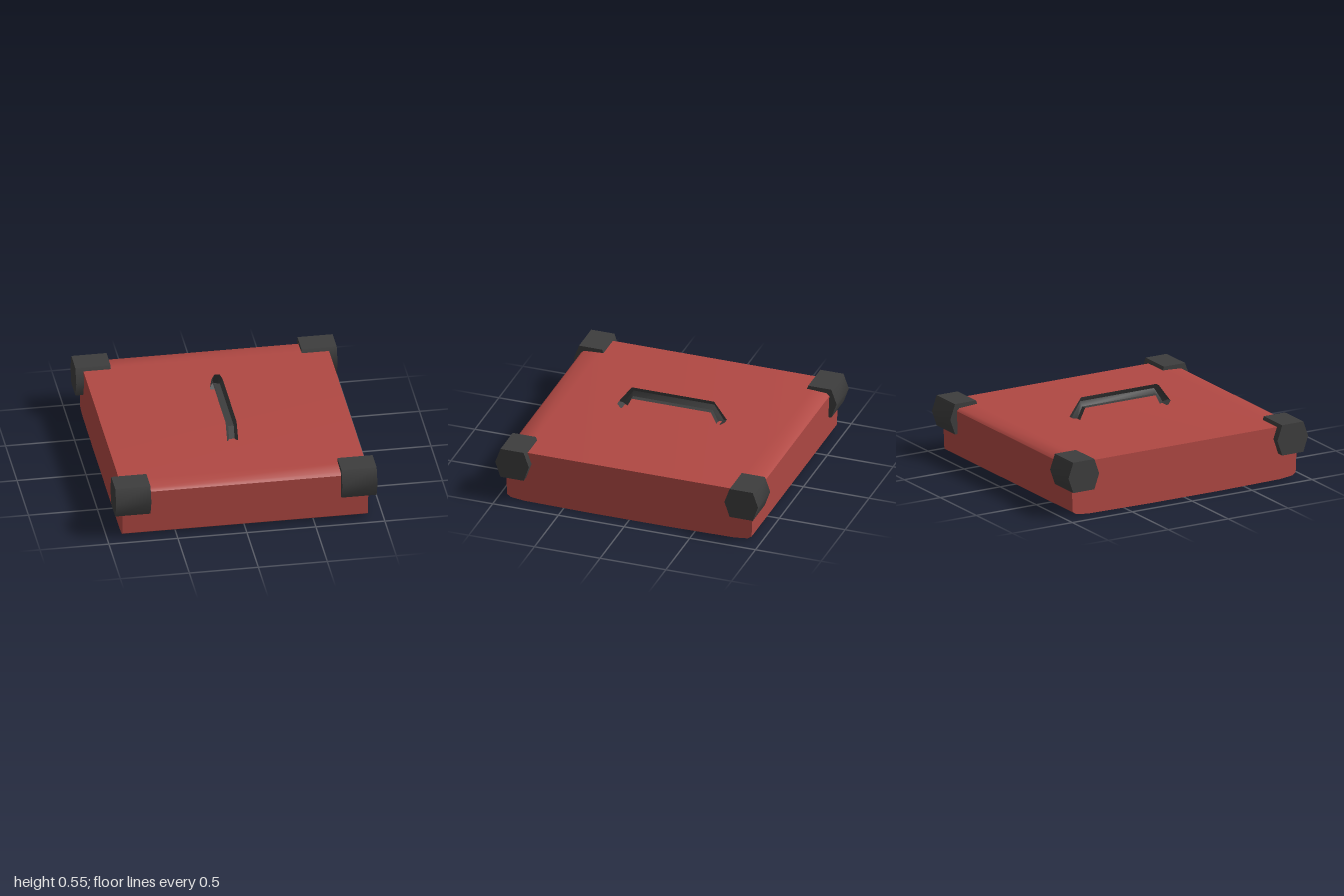
import * as THREE from 'three';
import { toCreasedNormals } from 'three/addons/utils/BufferGeometryUtils.js';

const red = new THREE.MeshStandardMaterial({ name: 'red shell', color: 0xb04843 });
const dark = new THREE.MeshStandardMaterial({ name: 'dark grey plastic', color: 0x3d3d3d });
const CREASE = 0.78;

// Prism along x from a closed (z, y) outline, centred on x = 0
function prism(outline, width) {
  const shape = new THREE.Shape(outline.map(([z, y]) => new THREE.Vector2(z, y)));
  const geo = new THREE.ExtrudeGeometry(shape, { depth: width, bevelEnabled: false });
  geo.translate(0, 0, -width / 2).rotateY(-Math.PI / 2);
  return toCreasedNormals(geo, CREASE);
}

// Hexagonal bar lofted through sections given by outer and inner (z, y) points
function hexBar(sections, halfWidth) {
  const pos = [], index = [];
  for (const [[z1, y1], [z0, y0]] of sections) {
    for (let i = 0; i < 6; i++) {
      const a = i * Math.PI / 3;
      const t = Math.sin(a) / Math.sin(Math.PI / 3) / 2;
      pos.push(halfWidth * Math.cos(a), (y1 + y0) / 2 + t * (y1 - y0), (z1 + z0) / 2 + t * (z1 - z0));
    }
  }
  const last = (sections.length - 1) * 6;
  for (let s = 0; s < last; s += 6) {
    for (let i = 0; i < 6; i++) {
      const j = (i + 1) % 6;
      index.push(s + i, s + j, s + 6 + i, s + j, s + 6 + j, s + 6 + i);
    }
  }
  for (let i = 1; i < 5; i++) index.push(0, i + 1, i, last, last + i, last + i + 1);
  const geo = new THREE.BufferGeometry();
  geo.setAttribute('position', new THREE.Float32BufferAttribute(pos, 3));
  geo.setIndex(index);
  return toCreasedNormals(geo, CREASE);
}

export function createModel() {
  const model = new THREE.Group();
  const add = (name, geo, mat) => {
    const mesh = new THREE.Mesh(geo, mat);
    mesh.name = name;
    model.add(mesh);
    return mesh;
  };

  // Flat case with softened long edges
  const half = [[0.3, 0], [0.8, 0.006], [0.9, 0.017], [0.93, 0.037],
    [0.945, 0.372], [0.925, 0.392], [0.8, 0.4]];
  const mirrored = half.map(([z, y]) => [-z, y]).reverse();
  add('caseBody', prism([...half, ...mirrored], 1.78), red);

  // Hexagonal corner guards
  const hex = [[0.128, 0.315], [0.088, 0.427], [-0.088, 0.427],
    [-0.128, 0.315], [-0.088, 0.2], [0.088, 0.2]].reverse();
  const guard = prism(hex, 0.255);
  for (const x of [-1, 1]) {
    for (const z of [-1, 1]) {
      const name = (z > 0 ? 'front' : 'back') + (x > 0 ? 'Left' : 'Right') + 'CornerGuard';
      add(name, guard, dark).position.set(x * 0.8195, 0, z * 0.872);
    }
  }

  // Carry handle with two splayed legs
  add('handle', hexBar([
    [[0.41, 0.424], [0.35, 0.388]],
    [[0.313, 0.554], [0.303, 0.484]],
    [[-0.313, 0.554], [-0.303, 0.484]],
    [[-0.41, 0.424], [-0.35, 0.388]],
  ], 0.04), dark);

  return model;
}
